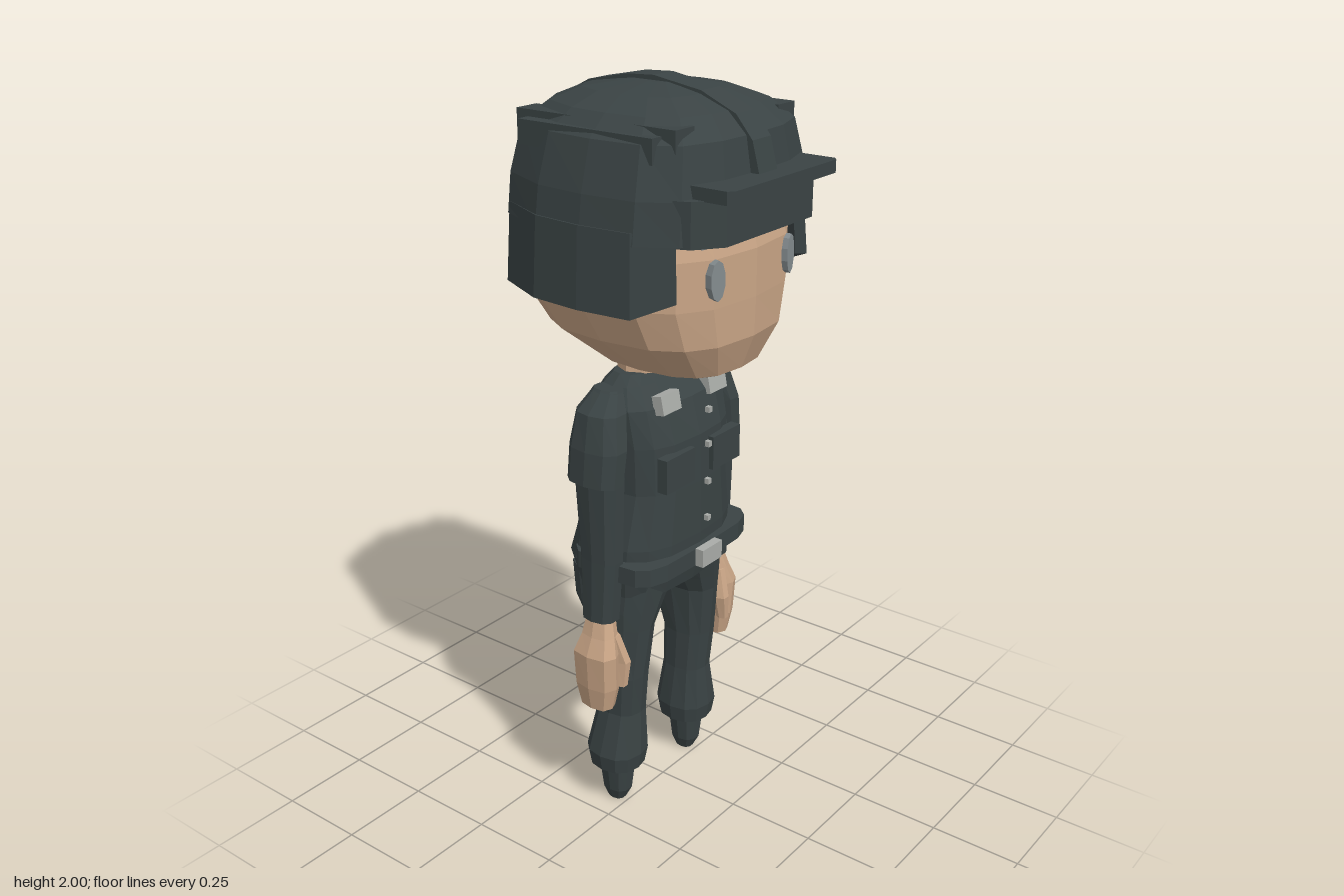
import * as THREE from 'three';

const mat = (name, color) => {
  const m = new THREE.MeshStandardMaterial({ color, flatShading: true });
  m.name = name;
  return m;
};

// Skin a list of closed loops (arrays of [x, y, z]) and cap both ends
function loft(loops) {
  const n = loops[0].length, pos = [], tri = (...p) => p.forEach(v => pos.push(...v));
  for (let i = 0; i < loops.length - 1; i++) {
    for (let j = 0; j < n; j++) {
      const k = (j + 1) % n;
      const a = loops[i][j], b = loops[i][k], c = loops[i + 1][k], d = loops[i + 1][j];
      tri(a, d, c, a, c, b);
    }
  }
  const centre = l => [0, 1, 2].map(c => l.reduce((s, p) => s + p[c], 0) / n);
  const first = loops[0], last = loops[loops.length - 1], c0 = centre(first), c1 = centre(last);
  for (let j = 0; j < n; j++) {
    const k = (j + 1) % n;
    tri(c0, first[j], first[k], c1, last[k], last[j]);
  }
  const g = new THREE.BufferGeometry();
  g.setAttribute('position', new THREE.Float32BufferAttribute(pos, 3));
  g.computeVertexNormals();
  return g;
}

// Rounded-square ring at height y, between zFront and zBack
function ring([y, cx, hx, zf, zb], n, e) {
  const pts = [], pw = v => Math.sign(v) * Math.pow(Math.abs(v), 2 / e);
  for (let j = 0; j < n; j++) {
    const a = (j / n) * Math.PI * 2;
    pts.push([cx + hx * pw(Math.cos(a)), y, (zf + zb) / 2 + ((zf - zb) / 2) * pw(Math.sin(a))]);
  }
  return pts;
}
const body = (rows, n = 12, e = 2.4) => loft(rows.map(r => ring(r, n, e)));

// Flat plate from an [x, z] outline
const plate = (outline, y0, y1) => loft([y0, y1].map(y => outline.map(([x, z]) => [x, y, z])));

export function createModel() {
  const model = new THREE.Group();
  const cloth = mat('dark uniform', 0x3a4344);
  const skin = mat('skin', 0xc9a586);
  const silver = mat('silver', 0xa9aca8);
  const eyeGrey = mat('eye grey', 0x848c8f);
  const add = (name, geo, m, x = 0, y = 0, z = 0) => {
    const mesh = new THREE.Mesh(geo, m);
    mesh.name = name;
    mesh.position.set(x, y, z);
    model.add(mesh);
    return mesh;
  };
  const box = (name, m, w, h, d, x, y, z) => add(name, new THREE.BoxGeometry(w, h, d), m, x, y, z);

  // Head and neck
  add('head', body([
    [1.275, 0, 0.07, 0.17, -0.05], [1.31, 0, 0.17, 0.245, -0.13], [1.4, 0, 0.26, 0.28, -0.26],
    [1.5, 0, 0.3, 0.283, -0.325], [1.62, 0, 0.3, 0.283, -0.325], [1.78, 0, 0.27, 0.24, -0.28],
  ], 16, 2.8), skin);
  add('neck', body([[1.2, 0, 0.13, 0.045, -0.09], [1.34, 0, 0.12, 0.045, -0.09]], 10), skin);

  // Helmet: dome rings follow one outline, front to back
  const half = [[0, 0.295], [0.15, 0.288], [0.275, 0.25], [0.335, 0.16], [0.348, 0.01],
    [0.335, -0.135], [0.265, -0.285], [0.15, -0.345], [0, -0.355]];
  const outline = [...half, ...half.slice(1, 8).reverse().map(([x, z]) => [-x, z])];
  const domeRing = ([y, sx, zf, zb]) => [...outline].reverse().map(([x, z]) =>
    [x * sx, y, (zf + zb) / 2 + (z + 0.03) * (zf - zb) / 0.65]);
  add('helmetDome', loft([
    [1.67, 0.965, 0.295, -0.352], [1.77, 0.925, 0.292, -0.348], [1.89, 0.825, 0.272, -0.325],
    [1.94, 0.66, 0.22, -0.26], [1.97, 0.45, 0.14, -0.19], [1.988, 0.16, 0.05, -0.07],
  ].map(domeRing)), cloth);

  // Side and back skirt, open over the face
  add('helmetSkirt', loft(outline.slice(2, 15).map(([x, z], i) => {
    const low = i === 0 || i === 12 ? 1.54 : 1.5;
    const p = (s, y) => [x * s, y, (z + 0.03) * s - 0.03];
    return [p(1, low), p(0.965, 1.7), p(0.9, 1.7), p(0.92, low)];
  })), cloth);

  // Centre ridge over the dome
  const ridge = new THREE.Shape([[0.3, 1.72], [0.32, 1.76], [0.287, 1.88], [0.24, 1.935], [0.14, 1.978],
    [0, 2], [-0.08, 1.996], [-0.2, 1.972], [-0.325, 1.91], [-0.358, 1.79], [-0.365, 1.5],
    [-0.335, 1.5], [-0.25, 1.76]].map(p => new THREE.Vector2(...p)));
  const ridgeGeo = new THREE.ExtrudeGeometry(ridge, { depth: 0.075, bevelEnabled: false });
  ridgeGeo.translate(0, 0, -0.0375).rotateY(-Math.PI / 2);
  add('helmetRidge', ridgeGeo, cloth);

  add('helmetBrow', plate([[0.265, 0.23], [0.25, 0.27], [0.18, 0.32], [-0.18, 0.32],
    [-0.25, 0.27], [-0.265, 0.23]], 1.665, 1.775), cloth);
  add('visor', plate([[0.225, 0.22], [0.225, 0.35], [0.21, 0.363], [-0.21, 0.363],
    [-0.225, 0.35], [-0.225, 0.22]], 1.773, 1.805), cloth);

  // Jacket and pelvis
  add('jacket', body([
    [0.675, 0, 0.212, 0.1, -0.19], [0.75, 0, 0.225, 0.122, -0.215], [0.82, 0, 0.225, 0.125, -0.19],
    [0.97, 0, 0.195, 0.125, -0.16], [1.1, 0, 0.2, 0.122, -0.15], [1.2, 0, 0.205, 0.095, -0.13],
    [1.25, 0, 0.175, 0.05, -0.1], [1.275, 0, 0.145, 0.03, -0.08],
  ], 16, 2.8), cloth);
  add('pelvis', body([[0.645, 0, 0.12, 0.05, -0.14], [0.72, 0, 0.2, 0.095, -0.2]], 12), cloth);

  // Belt, buckle and buttons
  add('belt', body([[0.742, 0, 0.245, 0.142, -0.15], [0.79, 0, 0.245, 0.142, -0.15]], 16, 4.5), cloth);
  box('buckle', silver, 0.085, 0.05, 0.025, 0, 0.767, 0.153);
  for (const y of [0.87, 0.975, 1.08, 1.175]) box('button', silver, 0.013, 0.015, 0.013, 0, y, 0.147);

  for (const s of [1, -1]) {
    // Helmet side rails
    box('helmetRail', cloth, 0.165, 0.06, 0.4, s * 0.1925, 1.878, -0.02);
    box('helmetRailInner', cloth, 0.07, 0.08, 0.475, s * 0.205, 1.885, -0.018);

    // Eyes and brows
    const eye = add('eye', new THREE.CylinderGeometry(1, 1, 1, 10).rotateX(Math.PI / 2), eyeGrey,
      s * 0.15, 1.572, 0.265);
    eye.scale.set(0.023, 0.05, 0.03);
    eye.rotation.y = s * 0.2;
    box('eyebrow', eyeGrey, 0.1, 0.016, 0.03, s * 0.15, 1.662, 0.262).rotation.y = s * 0.2;

    // Chest details
    box('pocket', cloth, 0.12, 0.092, 0.03, s * 0.1, 1.034, 0.12);
    box('collarPatch', silver, 0.074, 0.05, 0.03, s * 0.099, 1.21, 0.088).rotation.x = -0.2;

    // Arm, shoulder cap and hand
    const side = rows => rows.map(([y, x, ...r]) => [y, s * x, ...r]);
    add('sleeve', body(side([
      [0.625, 0.243, 0.041, 0.032, -0.07], [0.8, 0.24, 0.042, 0.045, -0.075],
      [1.03, 0.24, 0.045, 0.052, -0.09], [1.2, 0.215, 0.05, 0.035, -0.09],
      [1.25, 0.185, 0.03, 0.01, -0.07],
    ]), 10), cloth);
    add('shoulderCap', body(side([
      [1.02, 0.255, 0.048, 0.06, -0.1], [1.11, 0.243, 0.052, 0.062, -0.1],
      [1.2, 0.22, 0.053, 0.042, -0.092], [1.245, 0.19, 0.03, 0.015, -0.07],
    ]), 10), cloth);
    add('hand', body(side([
      [0.365, 0.262, 0.032, 0.03, -0.065], [0.43, 0.262, 0.042, 0.045, -0.08],
      [0.53, 0.268, 0.042, 0.05, -0.082], [0.58, 0.255, 0.034, 0.035, -0.065],
      [0.64, 0.243, 0.028, 0.018, -0.055],
    ]), 8, 2.8), skin);
    add('thumb', body(side([
      [0.43, 0.232, 0.014, 0.055, 0.02], [0.5, 0.225, 0.02, 0.06, 0.005], [0.58, 0.238, 0.018, 0.035, -0.01],
    ]), 6), skin);

    // Trouser leg and boot
    add('trouserLeg', body(side([
      [0.122, 0.16, 0.07, 0.036, -0.112], [0.17, 0.16, 0.078, 0.045, -0.12],
      [0.3, 0.15, 0.057, 0.038, -0.095], [0.42, 0.153, 0.06, 0.05, -0.095],
      [0.57, 0.145, 0.063, 0.068, -0.14], [0.62, 0.132, 0.078, 0.078, -0.178],
      [0.71, 0.107, 0.1, 0.095, -0.2],
    ]), 12), cloth);
    add('boot', body(side([
      [0, 0.16, 0.022, -0.015, -0.065], [0.035, 0.16, 0.035, 0.003, -0.08],
      [0.13, 0.16, 0.047, 0.014, -0.09],
    ]), 10), cloth);
  }
  return model;
}
